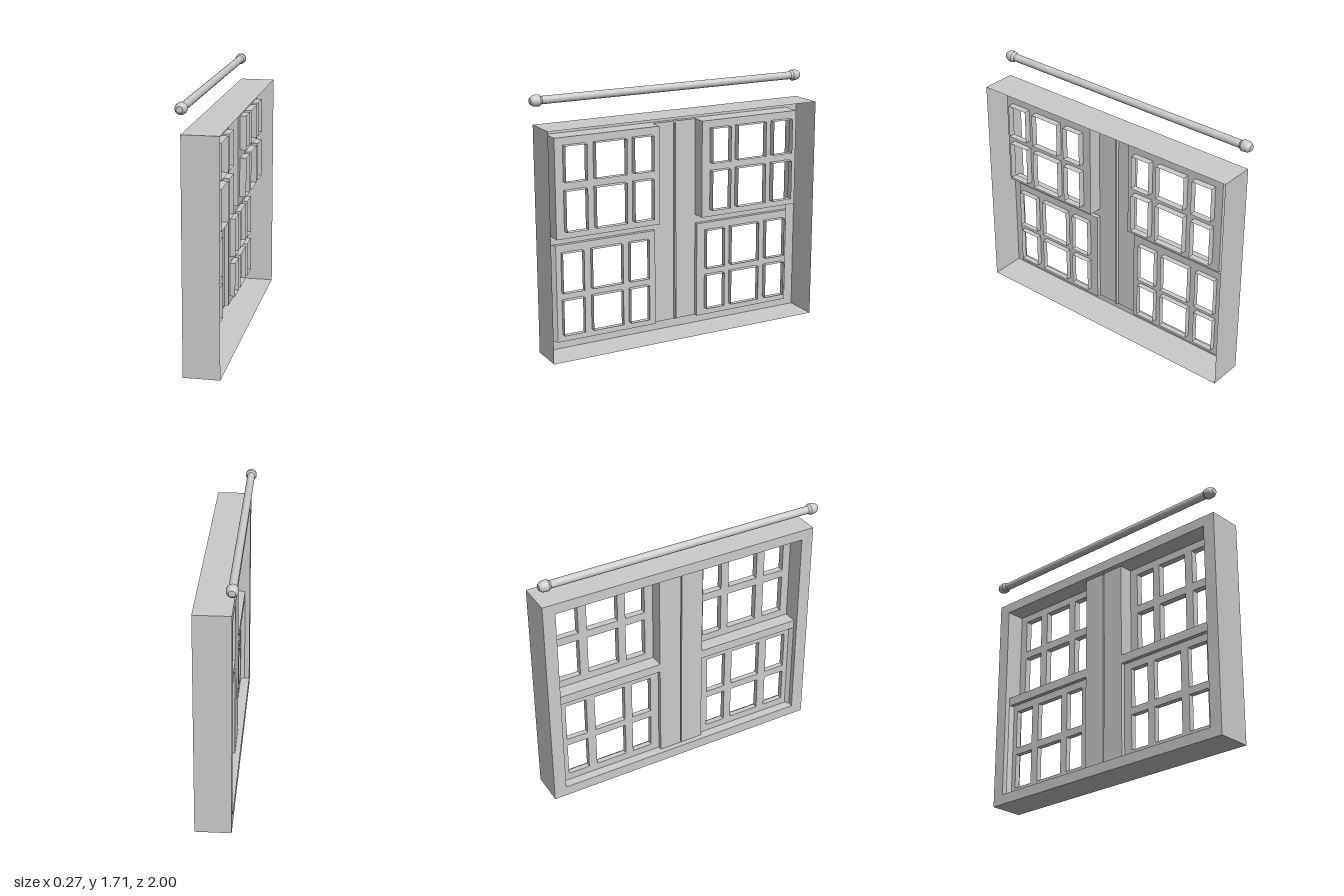
import * as THREE from 'three';

const material = new THREE.MeshStandardMaterial({ color: 0xcccccc, side: THREE.DoubleSide });

// rectangles are [z0, z1, y0, y1] in the plane of the window
const corners = ([z0, z1, y0, y1]) => [[z0, y0], [z1, y0], [z1, y1], [z0, y1]];
const points = (r) => corners(r).map(([z, y]) => new THREE.Vector2(z, y));
const mirror = ([z0, z1, y0, y1]) => [-z1, -z0, y0, y1];

function add(parent, name, geometry) {
  const mesh = new THREE.Mesh(geometry, material);
  mesh.name = name;
  parent.add(mesh);
  return mesh;
}

// flat panel at depth x, pierced by rectangular holes
function sheet(x, rect, holes) {
  const shape = new THREE.Shape(points(rect));
  for (const h of holes) shape.holes.push(new THREE.Path(points(h).reverse()));
  return new THREE.ShapeGeometry(shape).rotateY(-Math.PI / 2).translate(x, 0, 0);
}

// four thin walls joining a rectangle at depth x0 to one at depth x1
function walls(x0, rect0, x1, rect1 = rect0) {
  const a = corners(rect0).map(([z, y]) => [x0, y, z]);
  const b = corners(rect1).map(([z, y]) => [x1, y, z]);
  const pos = [];
  for (let i = 0; i < 4; i++) {
    const j = (i + 1) % 4;
    pos.push(...a[i], ...a[j], ...b[j], ...a[i], ...b[j], ...b[i]);
  }
  const g = new THREE.BufferGeometry();
  g.setAttribute('position', new THREE.Float32BufferAttribute(pos, 3));
  g.computeVertexNormals();
  return g;
}

export function createModel() {
  const model = new THREE.Group();
  model.name = 'window';

  // depths from the face of the casing to its open side
  const FACE = -0.1, CROSS = -0.065, OPEN = 0.135;
  const outer = [-0.985, 0.985, 0, 1.52];
  const inner = [-0.9, 0.9, 0.07, 1.45];
  const groove = [-0.004, 0.004, 0.075, 1.44];

  // sashes: opening in the cross, sash panel, depth and pane rows
  const sashes = [
    { name: 'upperSash', hole: [0.16, 0.9, 0.79, 1.45], panel: [0.16, 0.9, 0.79, 1.45],
      x: 0.03, paneEnd: 0.075, rows: [[0.84, 1.11], [1.165, 1.4]] },
    { name: 'lowerSash', hole: [0.16, 0.9, 0.07, 0.73], panel: [0.16, 0.88, 0.07, 0.73],
      x: -0.037, paneEnd: 0.0, rows: [[0.12, 0.36], [0.41, 0.68]] },
  ];
  const columns = [[0.22, 0.36], [0.415, 0.635], [0.695, 0.845]];

  // casing
  const casing = new THREE.Group();
  casing.name = 'casing';
  model.add(casing);
  add(casing, 'casingFace', sheet(FACE, outer, [inner]));
  add(casing, 'casingSides', walls(OPEN, outer, FACE));
  add(casing, 'casingReveal', walls(FACE, inner, CROSS));

  // post and rails between the sashes, with the groove down the middle
  const crossHoles = [groove];
  for (const s of sashes) crossHoles.push(s.hole, mirror(s.hole));
  const cross = new THREE.Group();
  cross.name = 'centrePostAndRails';
  model.add(cross);
  // built as separate strips so that no hole touches the outline
  const strips = [[-0.16, -0.004, 0.07, 1.45], [-0.9, -0.16, 0.73, 0.79]];
  for (const r of strips) {
    add(cross, 'crossPanel', sheet(CROSS, r, []));
    add(cross, 'crossPanel', sheet(CROSS, mirror(r), []));
  }
  add(cross, 'grooveSides', walls(CROSS, groove, -0.043));
  add(cross, 'grooveBottom', sheet(-0.043, groove, []));

  // sashes on both halves
  for (const s of sashes) {
    const panes = columns.flatMap((c) => s.rows.map((r) => [...c, ...r]));
    for (const flip of [(r) => r, mirror]) {
      const sash = new THREE.Group();
      sash.name = s.name;
      model.add(sash);
      add(sash, 'sashRecess', walls(CROSS, flip(s.hole), s.x, flip(s.panel)));
      add(sash, 'sashPanel', sheet(s.x, flip(s.panel), panes.map(flip)));
      for (const p of panes) add(sash, 'paneReveal', walls(s.x, flip(p), s.paneEnd));
    }
  }

  // curtain rod with a turned knob at each end
  const rod = new THREE.Group();
  rod.name = 'curtainRod';
  rod.position.set(-0.1, 1.67, 0);
  model.add(rod);
  add(rod, 'rod', new THREE.CylinderGeometry(0.026, 0.026, 1.88, 24, 1, true).rotateX(Math.PI / 2));
  const profile = [[0.026, 0.925], [0.037, 0.94], [0.037, 0.965], [0.033, 0.983], [0.02, 1], [0, 1]];
  for (const side of [0, Math.PI]) {
    // each profile step is turned on its own to keep its edges crisp
    const knob = new THREE.Group();
    knob.name = 'rodKnob';
    knob.rotation.y = side;
    rod.add(knob);
    for (let i = 0; i < profile.length - 1; i++) {
      const pts = [profile[i], profile[i + 1]].map(([r, h]) => new THREE.Vector2(r, h));
      add(knob, 'knobBand', new THREE.LatheGeometry(pts, 24).rotateX(Math.PI / 2));
    }
  }
  return model;
}
